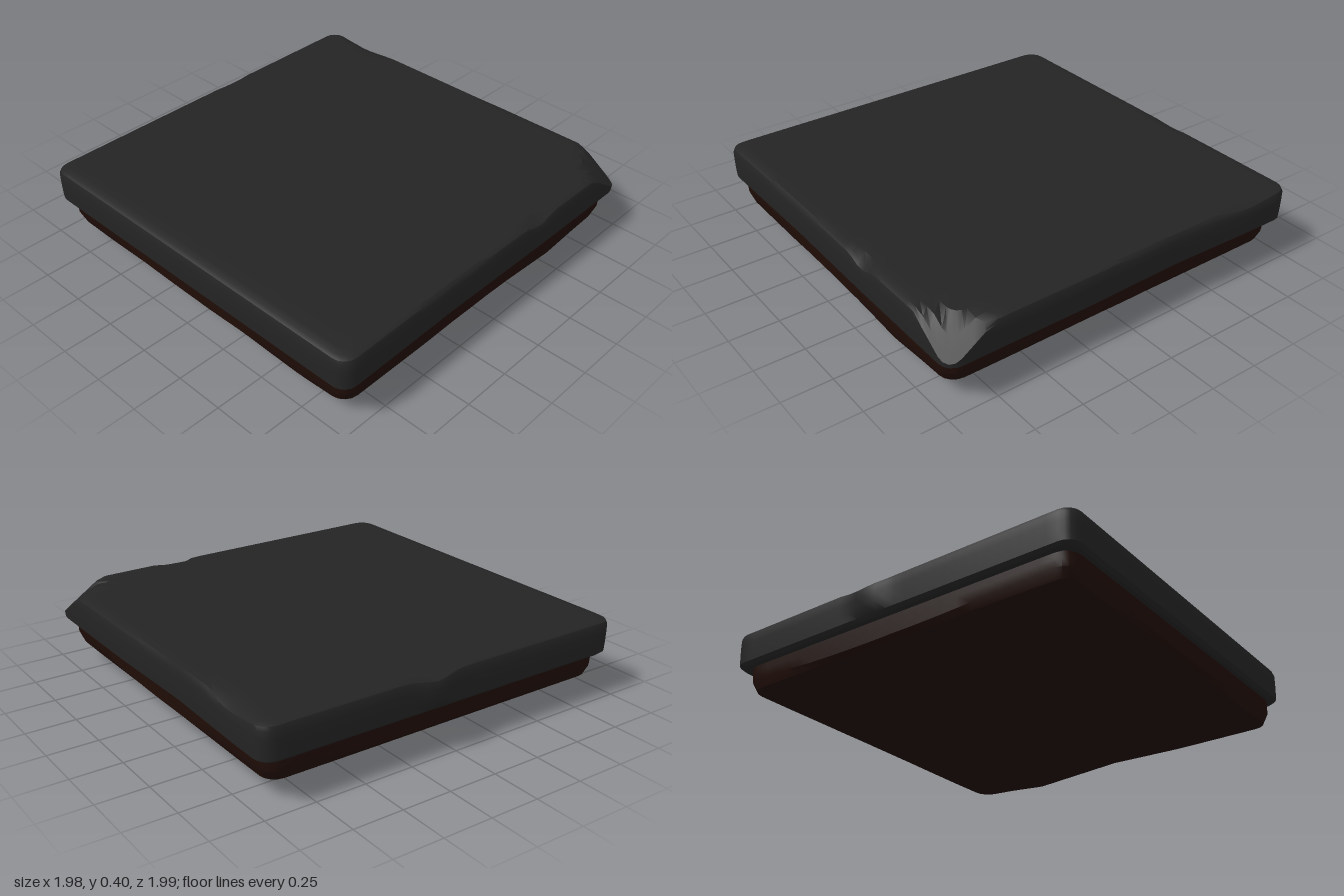
import * as THREE from 'three';
import { toCreasedNormals } from 'three/addons/utils/BufferGeometryUtils.js';

// Rounded unit square in the xz plane, walked from +x towards +z
function squareOutline(radius, steps) {
  const points = [];
  const inner = 1 - radius;
  for (let side = 0; side < 4; side++) {
    const c = Math.round(Math.cos(side * Math.PI / 2));
    const s = Math.round(Math.sin(side * Math.PI / 2));
    const add = (x, z) => points.push([x * c - z * s, x * s + z * c]);
    for (let i = 0; i <= steps; i++) add(1, inner * (2 * i / steps - 1));
    for (let i = 1; i < 4; i++) {
      const a = i * Math.PI / 8;
      add(inner + radius * Math.cos(a), inner + radius * Math.sin(a));
    }
  }
  return points;
}

// Skin concentric rings [scale, y], listed from the top centre to the bottom centre
function skin(outline, rings, shapePoint, crease) {
  const n = outline.length;
  const positions = [];
  const index = [];
  rings.forEach(([scale, y], r) => {
    outline.forEach(([x, z], i) => {
      positions.push(...shapePoint(x * scale, y, z * scale, r));
      if (r === rings.length - 1) return;
      const j = (i + 1) % n;
      const a = r * n + i, b = r * n + j;
      if (r > 0) index.push(a, b, a + n);
      if (r < rings.length - 2) index.push(b, b + n, a + n);
    });
  });
  const geometry = new THREE.BufferGeometry();
  geometry.setAttribute('position', new THREE.Float32BufferAttribute(positions, 3));
  geometry.setIndex(index);
  return toCreasedNormals(geometry, crease);
}

// Piecewise linear profile through [position, value] pairs
function profile(points, t) {
  if (t <= points[0][0]) return points[0][1];
  for (let i = 1; i < points.length; i++) {
    const [t0, v0] = points[i - 1], [t1, v1] = points[i];
    if (t <= t1) return v0 + (v1 - v0) * (t - t0) / (t1 - t0);
  }
  return points[points.length - 1][1];
}

const tent = (t, centre, width) => Math.max(0, 1 - Math.abs(t - centre) / width);

// Worn stone slab: broken front corner, nicked edges, bulge at the back
function shapeSlab(x, y, z) {
  const edge = Math.max(Math.abs(x), Math.abs(z));
  if (y > 0.25) {
    y = Math.min(y, 0.4 - Math.max(0, x + z - 1.73) * 0.68);
    if (y > 0.35 && edge > 0.94) {
      if (z > 0.94) y -= 0.035 * tent(x, 0.32, 0.1);
      if (z < -0.94) y -= 0.02 * tent(x, 0.12, 0.15);
      if (x > 0.94) y -= 0.02 * tent(z, -0.72, 0.22);
    }
  }
  // slight unevenness of the side faces
  if (edge > 0.97) {
    if (x > 0.95) x -= 0.012 * tent(z, -0.25, 0.5);
    if (z > 0.95) z -= 0.006 * tent(x, -0.3, 0.6);
  }
  if (z < -0.9) {
    z += 0.012;
    if (y > 0.24 && y < 0.39) z -= 0.025 * tent(x, 0.1, 0.12);
  }
  return [x, y, z];
}

// How far the soil hangs down along each axis
const hangX = [[-0.94, 0.02], [-0.4, 0.03], [0, 0], [0.5, 0.1], [0.7, 0.045], [0.94, 0]];
const hangZ = [[-0.93, 0], [-0.65, 0.03], [-0.2, 0.01], [-0.13, 0], [0.25, 0.02],
  [0.4, 0.06], [0.66, 0.1], [0.9, 0.035], [0.96, 0.03]];

// Soil block: straight upper sides, bevelled rim, undulating underside
function shapeSoil(x, y, z, ring) {
  if (ring === 3) y += 0.018 * Math.sin(3.2 * x + 1.5) * Math.cos(2.6 * z) - 0.2 * profile(hangX, x) * (z > 0 ? 1 : 0.5);
  if (ring > 3) y -= profile(hangX, x) * profile(hangZ, z) / 0.1;
  return [x - 0.005, y, z + 0.012];
}

export function createModel() {
  const group = new THREE.Group();

  const slabRings = [[0, 0.4], [0.5, 0.4], [0.8, 0.4], [0.87, 0.4], [0.93, 0.4], [0.968, 0.398],
    [0.985, 0.388], [0.991, 0.37], [0.991, 0.33], [0.99, 0.28], [0.988, 0.235], [0.972, 0.22], [0, 0.22]];
  const slab = new THREE.Mesh(
    skin(squareOutline(0.07, 32), slabRings, shapeSlab, 0.6),
    new THREE.MeshStandardMaterial({ color: 0x242424 })
  );
  slab.name = 'stoneSlab';

  const soilRings = [[0, 0.23], [0.945, 0.23], [0.945, 0.19], [0.943, 0.14], [0.925, 0.105], [0.88, 0.1]];
  for (let s = 0.82; s > 0.1; s -= 0.08) soilRings.push([s, 0.1]);
  soilRings.push([0, 0.1]);
  const soil = new THREE.Mesh(
    skin(squareOutline(0.08, 24), soilRings, shapeSoil, 0.5),
    new THREE.MeshStandardMaterial({ color: 0x1f0d07 })
  );
  soil.name = 'soilBase';

  group.add(slab, soil);
  return group;
}
